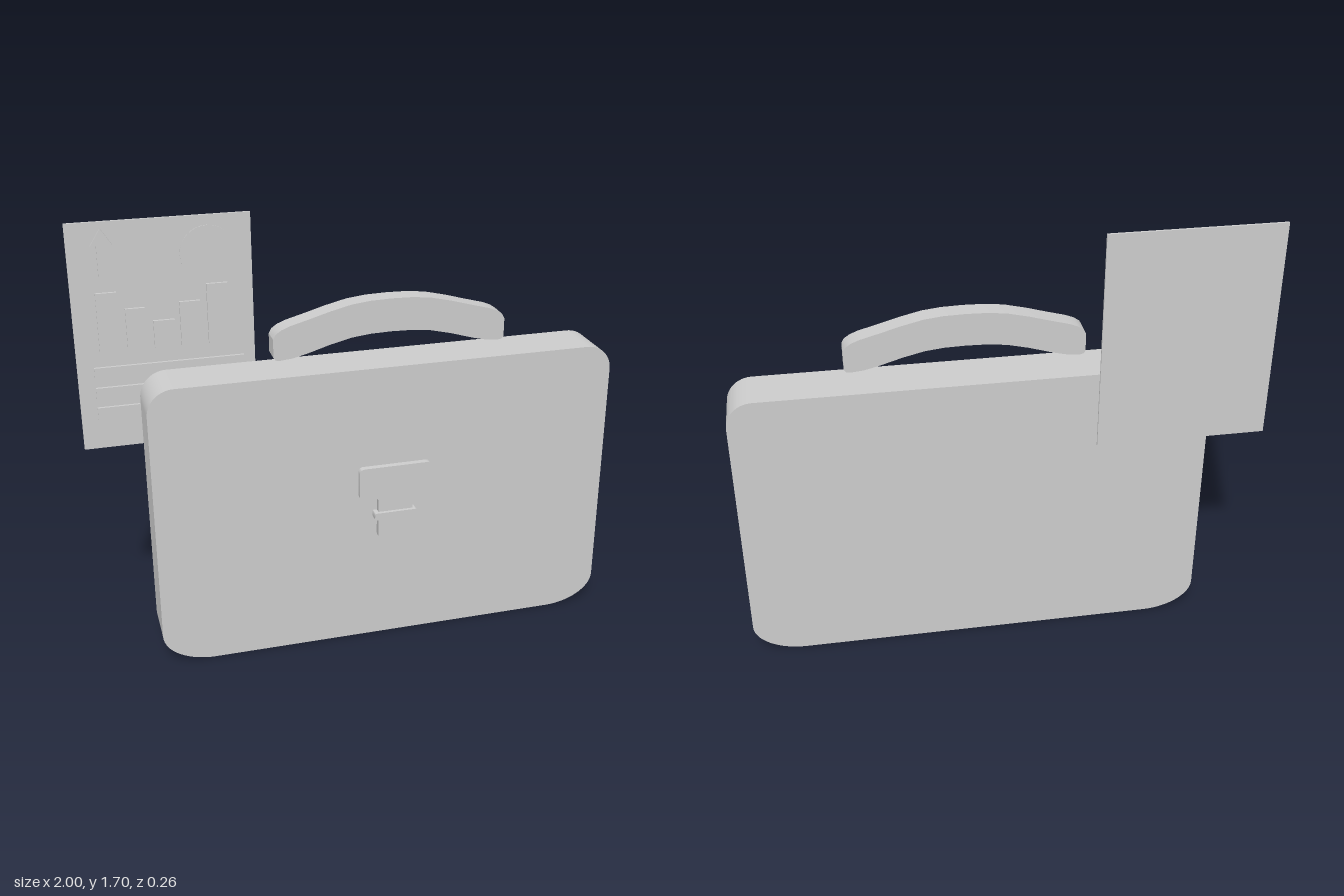
import * as THREE from 'three';
import { toCreasedNormals } from 'three/addons/utils/BufferGeometryUtils.js';

const material = new THREE.MeshStandardMaterial({ color: 0xcccccc });

// Extrudes a flat outline from z0 to z1.
function slab(name, shape, z0, z1, curveSegments = 6) {
  const geo = new THREE.ExtrudeGeometry(shape, { depth: z1 - z0, bevelEnabled: false, curveSegments });
  geo.translate(0, 0, z0);
  const mesh = new THREE.Mesh(toCreasedNormals(geo, 0.5), material);
  mesh.name = name;
  return mesh;
}

// Box given by its limits.
function block(name, x0, x1, y0, y1, z0, z1) {
  const mesh = new THREE.Mesh(new THREE.BoxGeometry(x1 - x0, y1 - y0, z1 - z0), material);
  mesh.position.set((x0 + x1) / 2, (y0 + y1) / 2, (z0 + z1) / 2);
  mesh.name = name;
  return mesh;
}

// Rectangle with elliptical bottom corners (bx, by) and round top corners (t).
function roundedRect(x0, x1, y0, y1, bx, by, t) {
  const s = new THREE.Shape();
  s.moveTo(x0 + bx, y0);
  s.lineTo(x1 - bx, y0);
  s.absellipse(x1 - bx, y0 + by, bx, by, -Math.PI / 2, 0, false);
  s.lineTo(x1, y1 - t);
  s.absellipse(x1 - t, y1 - t, t, t, 0, Math.PI / 2, false);
  s.lineTo(x0 + t, y1);
  s.absellipse(x0 + t, y1 - t, t, t, Math.PI / 2, Math.PI, false);
  s.lineTo(x0, y0 + by);
  s.absellipse(x0 + bx, y0 + by, bx, by, Math.PI, Math.PI * 1.5, false);
  return s;
}

function makeHandle() {
  // Half outlines from the middle to the end, mirrored about the middle.
  const cx = 0.127;
  const top = [[0, 1.386], [0.08, 1.384], [0.15, 1.376], [0.23, 1.357], [0.31, 1.334], [0.38, 1.315], [0.41, 1.303], [0.432, 1.288], [0.442, 1.27]];
  const bottom = [[0.442, 1.2], [0.435, 1.19], [0.42, 1.187], [0.37, 1.192], [0.32, 1.204], [0.23, 1.231], [0.15, 1.25], [0.08, 1.258], [0, 1.26]];
  const half = [...top, ...bottom];
  const other = half.slice(1, -1).reverse().map(([x, y]) => [-x, y]);
  const points = [...half, ...other].map(([x, y]) => new THREE.Vector2(cx + x, y));
  return slab('handle', new THREE.Shape(points), -0.025, 0.05);
}

function makeLatch() {
  const latch = new THREE.Group();
  latch.name = 'latch';
  // T-shaped plate with rounded corners
  const s = new THREE.Shape();
  const cx = 0.132, w = 0.142, n = 0.068, r = 0.02;
  s.moveTo(cx - n + r, 0.438);
  s.lineTo(cx + n - r, 0.438);
  s.quadraticCurveTo(cx + n, 0.438, cx + n, 0.438 + r);
  s.lineTo(cx + n, 0.6);
  s.quadraticCurveTo(cx + n, 0.614, cx + n + 0.014, 0.614);
  s.lineTo(cx + w - r, 0.614);
  s.quadraticCurveTo(cx + w, 0.614, cx + w, 0.614 + r);
  s.lineTo(cx + w, 0.744 - r);
  s.quadraticCurveTo(cx + w, 0.744, cx + w - r, 0.744);
  s.lineTo(cx - w + r, 0.744);
  s.quadraticCurveTo(cx - w, 0.744, cx - w, 0.744 - r);
  s.lineTo(cx - w, 0.614 + r);
  s.quadraticCurveTo(cx - w, 0.614, cx - w + r, 0.614);
  s.lineTo(cx - n - 0.014, 0.614);
  s.quadraticCurveTo(cx - n, 0.614, cx - n, 0.6);
  s.lineTo(cx - n, 0.438 + r);
  s.quadraticCurveTo(cx - n, 0.438, cx - n + r, 0.438);
  latch.add(slab('latchPlate', s, 0.09, 0.117));
  latch.add(slab('latchBand', roundedRect(0.047, 0.215, 0.527, 0.556, 0.006, 0.006, 0.006), 0.09, 0.13, 3));
  return latch;
}

function makeReport() {
  const report = new THREE.Group();
  report.name = 'report';
  const front = -0.118, raised = -0.108;
  report.add(block('sheet', -1, -0.35, 0.847, 1.697, -0.127, front));

  // Bar chart: left edge, right edge, top
  const bars = [[-0.914, -0.84, 1.443], [-0.814, -0.742, 1.378], [-0.717, -0.64, 1.325], [-0.62, -0.545, 1.388], [-0.52, -0.443, 1.447]];
  for (const [x0, x1, y1] of bars) report.add(block('chartBar', x0, x1, 1.222, y1, front, raised));

  // Text rules
  for (const y of [0.965, 1.042, 1.12]) report.add(block('textRule', -0.94, -0.393, y, y + 0.045, front, raised));

  // Up arrow
  const arrow = [[-0.896, 1.49], [-0.86, 1.49], [-0.86, 1.615], [-0.84, 1.615], [-0.878, 1.675], [-0.916, 1.615], [-0.896, 1.615]];
  report.add(slab('arrow', new THREE.Shape(arrow.map(([x, y]) => new THREE.Vector2(x, y))), front, raised));

  // Flat round chart
  const disc = new THREE.Shape();
  disc.absarc(-0.508, 1.56, 0.1, 0, Math.PI * 2, false);
  report.add(slab('roundChart', disc, front, -0.115, 16));
  return report;
}

export function createModel() {
  const model = new THREE.Group();
  model.name = 'briefcase';
  model.add(slab('caseBody', roundedRect(-0.785, 1, 0, 1.138, 0.2, 0.125, 0.1), -0.1, 0.094, 8));
  model.add(makeHandle(), makeLatch(), makeReport());
  return model;
}
